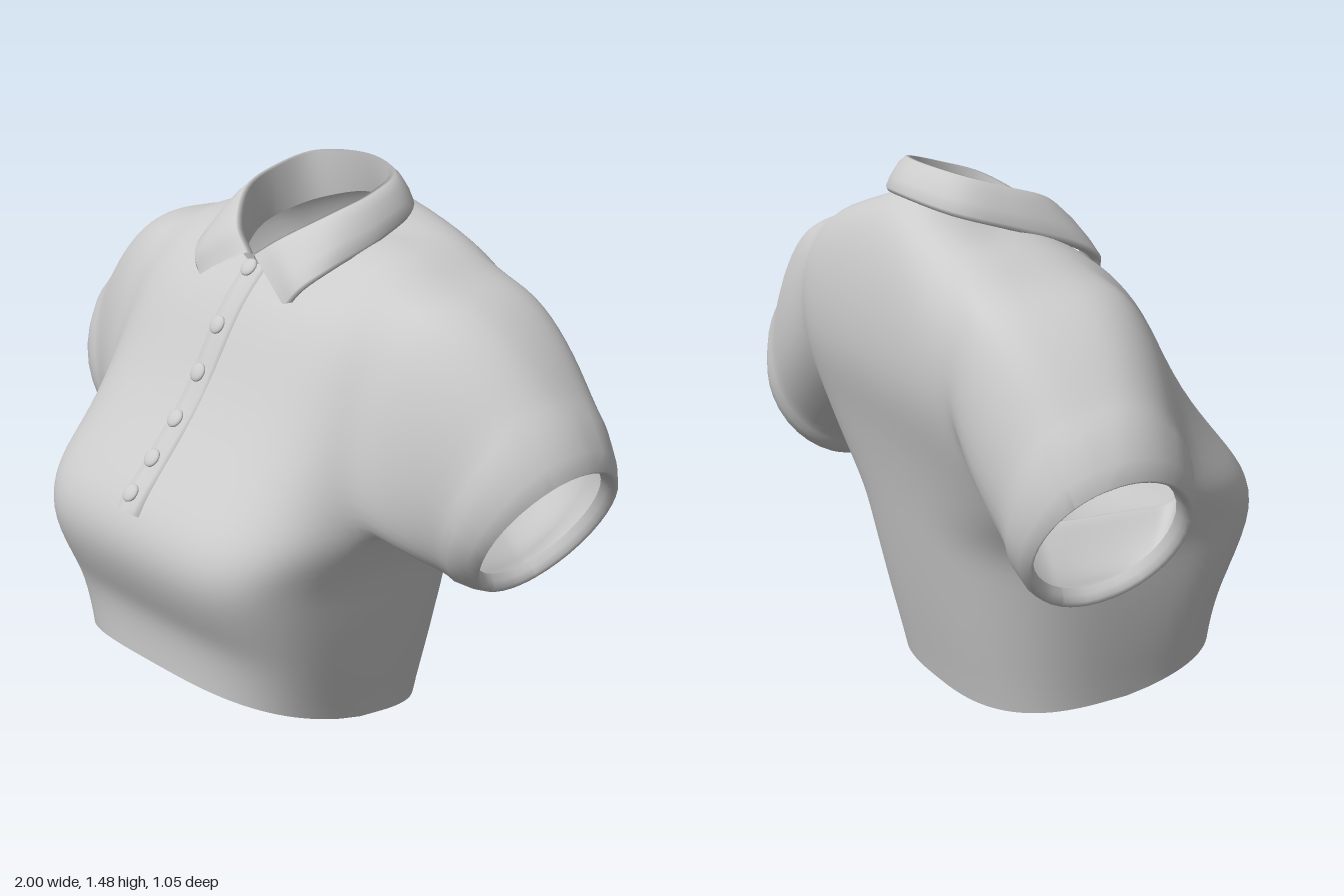
import * as THREE from 'three';

const V = (x, y, z) => new THREE.Vector3(x, y, z);
const material = new THREE.MeshStandardMaterial({ color: 0xcccccc, side: THREE.DoubleSide });
const spline = (pts) => new THREE.CatmullRomCurve3(pts, false, 'catmullrom', 0.5);

// Torso sections, hem to neck: front y,z | back y,z | side x,y,z | roundness front,back | armhole angle front,back
const SECTIONS = [
  [0.15, 0.43, 0.0, -0.3, 0.46, 0.045, 0.06, 0.6, 0.7, 35, 35],
  [0.29, 0.44, 0.2, -0.35, 0.485, 0.2, 0.06, 0.54, 0.68, 35, 35],
  [0.38, 0.485, 0.38, -0.39, 0.505, 0.37, 0.05, 0.5, 0.66, 30, 30],
  [0.5, 0.53, 0.5, -0.415, 0.515, 0.5, 0.03, 0.47, 0.62, 18, 22],
  [0.62, 0.51, 0.62, -0.44, 0.555, 0.61, -0.08, 0.52, 0.55, 8, 13],
  [0.75, 0.405, 0.77, -0.475, 0.575, 0.73, -0.15, 0.6, 0.47, 25, 36],
  [0.9, 0.285, 0.93, -0.52, 0.58, 0.95, -0.17, 0.68, 0.41, 35, 49],
  [1.05, 0.2, 1.1, -0.52, 0.57, 1.175, -0.2, 0.75, 0.43, 33, 44],
  [1.13, 0.15, 1.25, -0.49, 0.46, 1.28, -0.23, 0.8, 0.55, 25, 28],
  [1.18, 0.11, 1.35, -0.44, 0.33, 1.315, -0.24, 0.9, 0.8, 28, 28],
  [1.235, 0.06, 1.4, -0.375, 0.21, 1.325, -0.18, 1, 1, 35, 35],
];
const track = (f) => spline(SECTIONS.map(f));
const frontLine = track((s) => V(0, s[0], s[1]));
const backLine = track((s) => V(0, s[2], s[3]));
const sideLine = track((s) => V(s[4], s[5], s[6]));
const roundness = track((s) => V(s[7], s[8], 0));
const holeAngle = track((s) => V(s[9], s[10], 0));

const ROWS = 40, COLS = 96, QUARTER = COLS / 4;
const HOLE = 10, HOLE_BOTTOM = 17, HOLE_TOP = 30; // armhole half width in columns, row range

function torsoPoint(i, j) {
  const t = i / ROWS;
  const side = sideLine.getPoint(t), isFront = j <= COLS / 2;
  const end = (isFront ? frontLine : backLine).getPoint(t);
  const p = roundness.getPoint(t), h = holeAngle.getPoint(t);
  const power = isFront ? p.x : p.y, edge = isFront ? h.x : h.y;
  // fold the column into one quadrant and warp it so the armhole edge sits at its angle
  let q = j % (COLS / 2);
  const right = j % COLS > QUARTER && j % COLS < 3 * QUARTER;
  if (q > QUARTER) q = COLS / 2 - q;
  const deg = q <= HOLE ? (q / HOLE) * edge : edge + ((q - HOLE) / (QUARTER - HOLE)) * (90 - edge);
  const a = THREE.MathUtils.degToRad(deg), s = Math.sin(a), c = Math.max(0, Math.cos(a));
  // straight hem, saddle-shaped shoulders
  const slope = THREE.MathUtils.lerp(1.2 * power, isFront ? 2 : 1.4, Math.min(1, t / 0.4));
  return V(
    (right ? -1 : 1) * side.x * Math.pow(c, power),
    side.y + (end.y - side.y) * Math.pow(s, slope),
    side.z + (end.z - side.z) * Math.pow(s, power));
}

function bodyGeometry() {
  const pts = [], fixed = [], index = [];
  const id = (i, j) => i * COLS + ((j + COLS) % COLS);
  const quad = (a, b, c, d) => index.push(a, b, c, a, c, d);

  for (let i = 0; i <= ROWS; i++)
    for (let j = 0; j < COLS; j++) {
      pts.push(torsoPoint(i, j));
      fixed.push(i === 0 || i === ROWS);
    }
  const inHole = (i, j) => {
    const k = (j + HOLE) % (COLS / 2);
    return i >= HOLE_BOTTOM && i < HOLE_TOP && k < 2 * HOLE;
  };
  for (let i = 0; i < ROWS; i++)
    for (let j = 0; j < COLS; j++)
      if (!inHole(i, j)) quad(id(i, j), id(i + 1, j), id(i + 1, j + 1), id(i, j + 1));

  // Sleeves grow from the armhole edges to tilted oval cuffs
  for (const [mid, sx] of [[0, 1], [COLS / 2, -1]]) {
    const loop = [];
    for (let j = HOLE; j > -HOLE; j--) loop.push(id(HOLE_BOTTOM, mid + j));
    for (let i = HOLE_BOTTOM; i < HOLE_TOP; i++) loop.push(id(i, mid - HOLE));
    for (let j = -HOLE; j < HOLE; j++) loop.push(id(HOLE_TOP, mid + j));
    for (let i = HOLE_TOP; i > HOLE_BOTTOM; i--) loop.push(id(i, mid + HOLE));
    const start = loop.map((k) => pts[k].clone());
    const box = new THREE.Box3().setFromPoints(start);
    const c = box.getCenter(V()), size = box.getSize(V());
    const centre = V(sx * 0.875, 0.65, -0.22);

    // each ring: t along the sleeve, scale of the cuff, inset back into the sleeve
    const rings = [];
    for (let k = 1; k <= 16; k++) rings.push([k / 16, 1, 0]);
    rings.push([1, 0.95, 0.005], [1, 0.91, 0.02], [1, 0.88, 0.04]);
    let prev = loop;
    for (const [t, scale, inset] of rings) {
      const next = start.map((p, k) => {
        const th = Math.atan2((p.y - c.y) / size.y, (p.z - c.z) / size.z);
        const s = Math.sin(th), w = Math.cos(th);
        const radial = V(sx * 0.125 * s, 0.2 * s, 0.22 * w);
        const rim = centre.clone().addScaledVector(radial, scale).add(V(-sx * 0.85 * inset, 0.53 * inset, 0));
        const q = p.clone().lerp(rim, t);
        const bulge = 4 * Math.pow(t, 0.8) * (1 - t), up = Math.max(0, s);
        q.x += sx * bulge * 0.025 * up;
        q.y += bulge * 0.075 * up;
        q.z += bulge * w * (w > 0 ? 0.02 : 0.025);
        if (t > 0.8 && t < 1) q.addScaledVector(radial, 0.04); // hem band
        pts.push(q);
        fixed.push(t > 0.78);
        return pts.length - 1;
      });
      prev.forEach((a, k) => {
        const m = (k + 1) % loop.length;
        quad(a, prev[m], next[m], next[k]);
      });
      prev = next;
    }
  }

  // Relax the cloth so sleeves blend into the torso
  const near = pts.map(() => new Set());
  for (let k = 0; k < index.length; k += 3)
    for (let e = 0; e < 3; e++) {
      const a = index[k + e], b = index[k + ((e + 1) % 3)];
      near[a].add(b);
      near[b].add(a);
    }
  for (let pass = 0; pass < 6; pass++) {
    const old = pts.map((p) => p.clone());
    pts.forEach((p, k) => {
      if (fixed[k] || !near[k].size) return;
      const avg = V(0, 0, 0);
      near[k].forEach((n) => avg.add(old[n]));
      p.lerp(avg.divideScalar(near[k].size), 0.5);
    });
  }
  const g = new THREE.BufferGeometry().setFromPoints(pts);
  g.setIndex(index);
  g.computeVertexNormals();
  return g;
}

// Open sheet through rows of points
function sheet(rows) {
  const n = rows[0].length, index = [];
  for (let i = 0; i < rows.length - 1; i++)
    for (let j = 0; j < n - 1; j++) {
      const a = i * n + j, b = a + n;
      index.push(a, a + 1, b + 1, a, b + 1, b);
    }
  const g = new THREE.BufferGeometry().setFromPoints(rows.flat());
  g.setIndex(index);
  g.computeVertexNormals();
  return g;
}

// Collar edge: left half from the front to the back centre, mirrored to the right
function collarEdge(half) {
  const pts = half.map((p) => V(...p));
  const mirror = pts.slice(0, -1).reverse().map((p) => V(-p.x, p.y, p.z));
  return spline([...pts, ...mirror]).getPoints(60);
}

function collarGeometry() {
  const stand = collarEdge([[0.005, 1.2, 0.06], [0.09, 1.215, 0.03], [0.175, 1.26, -0.08], [0.2, 1.29, -0.18], [0.15, 1.33, -0.3], [0, 1.365, -0.36]]);
  const fold = collarEdge([[0.005, 1.265, 0.07], [0.09, 1.325, 0.04], [0.18, 1.395, -0.06], [0.2, 1.435, -0.18], [0.16, 1.467, -0.29], [0, 1.48, -0.335]]);
  const edge = collarEdge([[0.19, 1.155, 0.105], [0.235, 1.215, 0.085], [0.262, 1.265, 0.0], [0.262, 1.32, -0.17], [0.2, 1.365, -0.33], [0, 1.39, -0.395]]);
  const outward = (p) => V(p.x, 0, p.z + 0.15).normalize();
  const leaf = (f, lift) => fold.map((p, k) => p.clone().lerp(edge[k], f).addScaledVector(outward(edge[k]), lift).add(V(0, lift * 0.6, 0)));
  return sheet([stand, leaf(0, -0.006), leaf(0.05, 0.006), leaf(0.3, 0.013), leaf(0.65, 0.014), leaf(0.93, 0.01), leaf(1, 0), leaf(0.95, -0.014), leaf(0.6, -0.012)]);
}

// Point and outward normal on the front centre line at height y
function frontAt(y) {
  let t = 0.3;
  while (t < 1 && frontLine.getPoint(t).y < y) t += 0.001;
  const d = frontLine.getTangent(t);
  return { point: frontLine.getPoint(t), normal: V(0, -d.z, d.y) };
}

export function createModel() {
  const group = new THREE.Group();
  const add = (name, geometry) => {
    const mesh = new THREE.Mesh(geometry, material);
    mesh.name = name;
    group.add(mesh);
    return mesh;
  };
  add('shirtBody', bodyGeometry());
  add('collar', collarGeometry());

  // Button placket down the front, its free edge on the left
  const rows = [];
  for (let k = 0; k <= 30; k++) {
    const { point, normal } = frontAt(0.62 + (k / 30) * 0.61);
    rows.push([[-0.05, -0.012], [-0.03, 0.003], [0, 0.008], [0.045, 0.01], [0.053, -0.012]].map(([x, d]) =>
      point.clone().addScaledVector(normal, d).setX(x)));
  }
  add('placket', sheet(rows));

  // Buttons
  for (const y of [1.22, 1.08, 0.957, 0.842, 0.745, 0.662]) {
    const { point, normal } = frontAt(y);
    const button = add('button', new THREE.SphereGeometry(0.027, 20, 12).scale(1, 1, 0.4));
    button.position.copy(point).addScaledVector(normal, 0.011);
    button.quaternion.setFromUnitVectors(V(0, 0, 1), normal);
  }
  return group;
}
